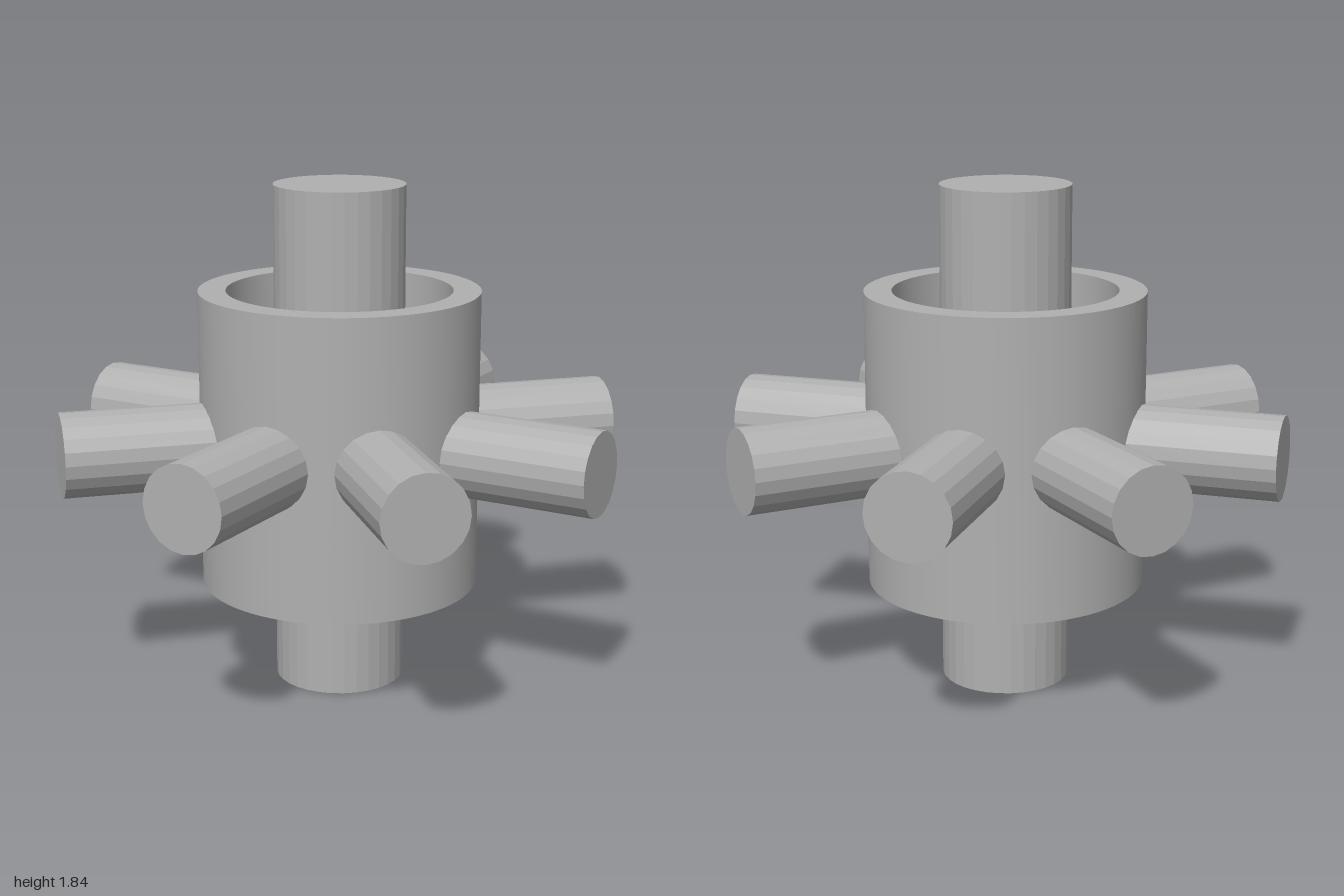
import * as THREE from 'three';
import { toCreasedNormals } from 'three/addons/utils/BufferGeometryUtils.js';

const MID = 0.918; // height of the spoke plane

export function createModel() {
  const group = new THREE.Group();
  const grey = new THREE.MeshStandardMaterial({ color: 0xb0b0b0 });

  const add = (name, geometry, crease = 0.5) => {
    const mesh = new THREE.Mesh(toCreasedNormals(geometry, crease), grey);
    mesh.name = name;
    group.add(mesh);
    return mesh;
  };

  // Central shaft
  add('shaft', new THREE.CylinderGeometry(0.236, 0.236, 1.836, 32), 0.1)
    .position.y = MID;

  // Hollow hub: outer sleeve joined to the shaft by a middle web
  const outer = 0.507, inner = 0.407, half = 0.541, web = 0.152;
  const profile = [
    [0.2, -web], [inner, -web], [inner, -half], [outer, -half],
    [outer, half], [inner, half], [inner, web], [0.2, web],
  ].map(([r, y]) => new THREE.Vector2(r, y));
  add('hub', new THREE.LatheGeometry(profile, 72)).position.y = MID;

  // Eight radial spokes rooted in the sleeve wall
  const start = 0.45, end = 1.016;
  for (let i = 0; i < 8; i++) {
    const geometry = new THREE.CylinderGeometry(0.152, 0.152, end - start, 20)
      .rotateZ(-Math.PI / 2)
      .translate((start + end) / 2, 0, 0);
    const spoke = add(`spoke${i + 1}`, geometry, 0.1);
    spoke.position.y = MID;
    spoke.rotation.y = (i + 0.5) * Math.PI / 4;
  }

  return group;
}
